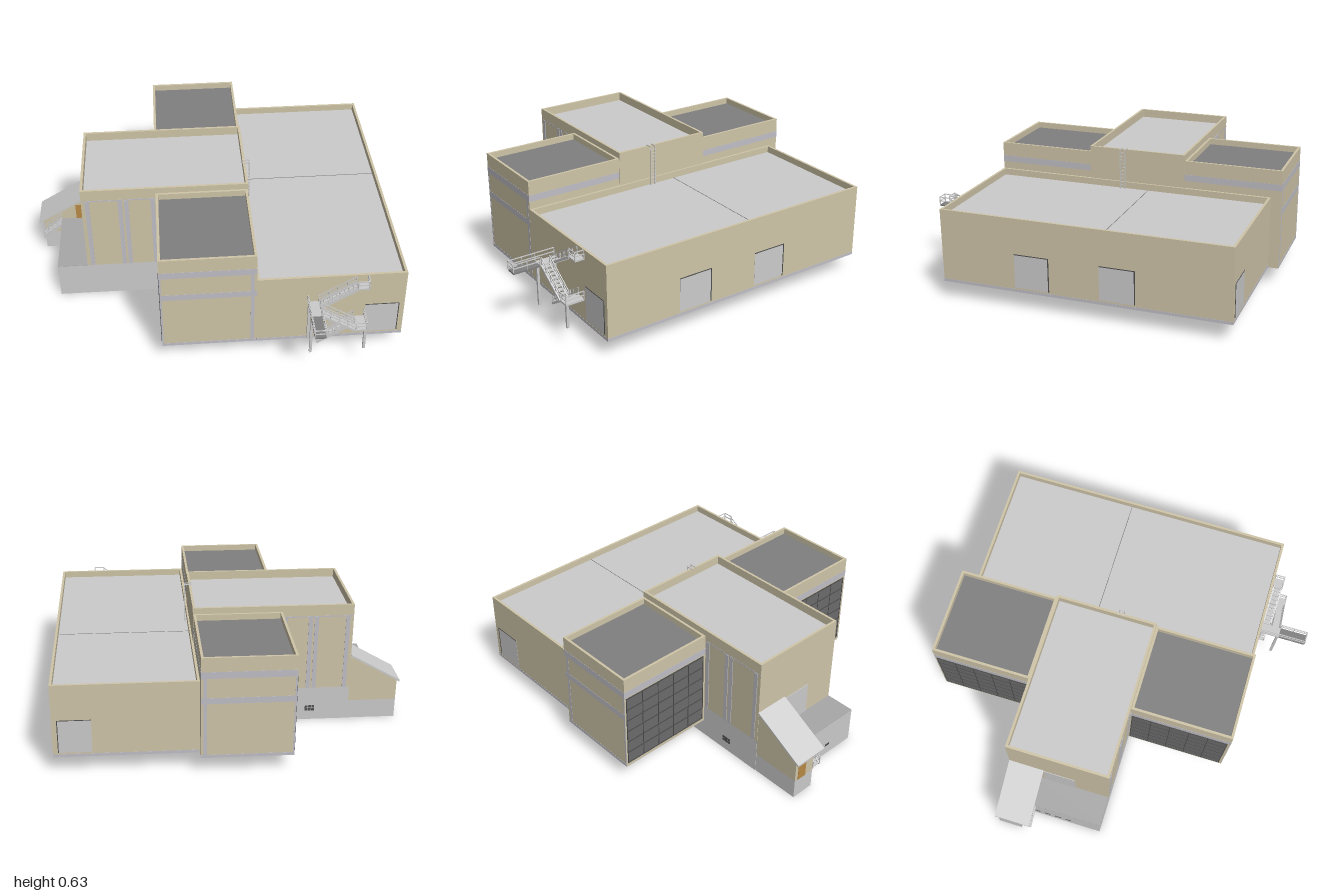
import * as THREE from 'three';

const mat = (color) => new THREE.MeshStandardMaterial({ color });
const TAN = mat(0xcfc5a8), GREY = mat(0xcccccc), TRIM = mat(0xbfbfc6), DARK = mat(0x808080);
const FLOOR = mat(0xa8a8a8), GLASS = mat(0x6c6c6c), FRAME = mat(0x505050), STEEL = mat(0xc0c0c0), ORANGE = mat(0xb88a45);

// Box given by its ranges along each axis
function box(parent, name, m, x0, x1, y0, y1, z0, z1) {
  const g = new THREE.BoxGeometry(x1 - x0, y1 - y0, z1 - z0);
  const mesh = new THREE.Mesh(g, m);
  mesh.position.set((x0 + x1) / 2, (y0 + y1) / 2, (z0 + z1) / 2);
  mesh.name = name;
  parent.add(mesh);
}

// Thin square bar between two points
function bar(parent, name, m, a, b, t = 0.005) {
  const p = new THREE.Vector3(...a), q = new THREE.Vector3(...b);
  const mesh = new THREE.Mesh(new THREE.BoxGeometry(t, t, p.distanceTo(q)), m);
  mesh.position.copy(p).add(q).multiplyScalar(0.5);
  mesh.lookAt(q);
  mesh.name = name;
  parent.add(mesh);
}

// Walls with a flat roof sunk behind a parapet, and a grey underside
function block(parent, name, roofMat, x0, x1, y0, roofY, topY, z0, z1, t = 0.012) {
  const g = new THREE.Group();
  g.name = name;
  box(g, 'walls', TAN, x0, x1, y0, roofY, z0, z1);
  box(g, 'underside', GREY, x0, x1, y0 - 0.001, y0, z0, z1);
  box(g, 'roof', roofMat, x0 + t, x1 - t, roofY - 0.005, roofY + 0.002, z0 + t, z1 - t);
  box(g, 'parapet', TAN, x0, x0 + t, roofY, topY, z0, z1);
  box(g, 'parapet', TAN, x1 - t, x1, roofY, topY, z0, z1);
  box(g, 'parapet', TAN, x0 + t, x1 - t, roofY, topY, z0, z0 + t);
  box(g, 'parapet', TAN, x0 + t, x1 - t, roofY, topY, z1 - t, z1);
  parent.add(g);
  return g;
}

// Straight flight along x with treads, stringers and handrails
function flight(parent, name, xa, ya, xb, yb, z0, z1, n = 9) {
  const g = new THREE.Group();
  g.name = name;
  const d = Math.abs(xb - xa) / n;
  for (let i = 0; i < n; i++) {
    const f = (i + 0.5) / n, x = xa + (xb - xa) * f, y = ya + (yb - ya) * f;
    box(g, 'tread', STEEL, x - d / 2, x + d / 2, y - 0.003, y + 0.003, z0, z1);
  }
  for (const z of [z0, z1]) {
    bar(g, 'stringer', STEEL, [xa, ya, z], [xb, yb, z], 0.011);
    for (const h of [0.02, 0.04]) bar(g, 'handrail', STEEL, [xa, ya + h, z], [xb, yb + h, z], 0.004);
    for (let i = 0; i <= 4; i++) {
      const x = xa + (xb - xa) * i / 4, y = ya + (yb - ya) * i / 4;
      bar(g, 'baluster', STEEL, [x, y, z], [x, y + 0.04, z], 0.004);
    }
  }
  parent.add(g);
}

// Railing along a list of floor points
function railing(parent, pts) {
  pts.forEach((p, i) => {
    bar(parent, 'railPost', STEEL, p, [p[0], p[1] + 0.04, p[2]], 0.004);
    if (!i) return;
    const q = pts[i - 1];
    for (const h of [0.02, 0.04])
      bar(parent, 'rail', STEEL, [q[0], q[1] + h, q[2]], [p[0], p[1] + h, p[2]], 0.004);
  });
}

// Side tower between an inner wall and an outer wall along z
function tower(parent, name, zIn, zOut) {
  const z0 = Math.min(zIn, zOut), z1 = Math.max(zIn, zOut), x0 = -0.424, x1 = 0.012, e = 0.001;
  const g = block(parent, name, DARK, x0, x1, 0.09, 0.568, 0.6, z0, z1);
  box(g, 'upperBand', TRIM, x0 - e, x1 + e, 0.497, 0.53, z0 - e, z1 + e);
  const out = (n, xa, xb, ya, yb) => box(g, n, TRIM, xa, xb, ya, yb, zOut - e, zOut + e);
  out('lowerBand', x0, x1, 0.37, 0.4);
  out('footBand', x0, x1, 0.09, 0.105);
  out('verticalBand', -0.016, 0, 0.105, 0.497);
  out('verticalBand', x0, x0 + 0.008, 0.105, 0.497);
  // Gridded window wall on the -x face
  const za = z0 + 0.01, zb = z1 - 0.015;
  box(g, 'windowWall', GLASS, x0 - 0.001, x0, 0.11, 0.49, za, zb);
  for (let i = 0; i <= 6; i++) {
    const y = 0.112 + i * 0.0627;
    box(g, 'transom', FRAME, x0 - 0.003, x0, y - 0.003, y + 0.003, za, zb);
  }
  for (let i = 0; i <= 5; i++) {
    const z = za + i * (zb - za) / 5;
    box(g, 'mullion', FRAME, x0 - 0.003, x0, 0.11, 0.49, z - 0.002, z + 0.002);
  }
}

export function createModel() {
  const model = new THREE.Group();
  model.name = 'industrialBuilding';
  const b = new THREE.Group();
  b.name = 'building';
  b.rotation.y = Math.PI / 6;
  model.add(b);

  // Warehouse with foundation strip and loading doors
  const R = 0.692;
  const hall = block(b, 'warehouse', GREY, 0.012, R, 0.09, 0.425, 0.46, -0.647, 0.797);
  box(hall, 'foundation', TRIM, 0.013, R + 0.001, 0.0895, 0.104, -0.648, 0.798);
  box(hall, 'roofSeam', DARK, 0.024, R - 0.012, 0.425, 0.428, -0.017, -0.014);
  for (const [za, zb] of [[0.244, 0.417], [-0.183, -0.01]]) {
    box(hall, 'loadingDoor', GREY, R - 0.01, R + 0.001, 0.112, 0.28, za, zb);
    box(hall, 'doorHead', FRAME, R - 0.01, R + 0.002, 0.278, 0.282, za, zb);
    box(hall, 'doorJamb', FRAME, R - 0.01, R + 0.002, 0.112, 0.282, za - 0.003, za + 0.002);
  }
  for (const z of [-0.647, 0.797]) {
    box(hall, 'endDoor', GREY, 0.51, 0.666, 0.112, 0.28, z - 0.001, z + 0.001);
    box(hall, 'doorHead', FRAME, 0.51, 0.666, 0.278, 0.281, z - 0.002, z + 0.002);
    box(hall, 'doorJamb', FRAME, 0.664, 0.668, 0.112, 0.281, z - 0.002, z + 0.002);
  }

  // Towers either side of the central block
  tower(b, 'frontTower', 0.3, 0.797);
  tower(b, 'backTower', -0.206, -0.7);

  // Central block on its grey base
  box(b, 'base', GREY, -0.778, 0.015, 0, 0.18, -0.205, 0.3);
  const mid = block(b, 'centralBlock', GREY, -0.778, 0.015, 0.18, 0.585, 0.63, -0.205, 0.3);
  for (const z of [-0.205, 0.3]) {
    for (const x of [-0.75, -0.595, -0.565, -0.44])
      box(mid, 'pilaster', TRIM, x - 0.01, x + 0.01, 0.18, 0.57, z - 0.003, z + 0.003);
    box(mid, 'capBand', TRIM, -0.778, -0.424, 0.567, 0.573, z - 0.001, z + 0.001);
  }
  box(mid, 'terraceDoor', GREY, -0.781, -0.777, 0.18, 0.345, -0.03, 0.13);
  for (let i = 0; i < 3; i++) for (let j = 0; j < 2; j++)
    box(b, 'baseVent', FRAME, -0.605 + i * 0.017, -0.591 + i * 0.017, 0.05 + j * 0.016, 0.063 + j * 0.016, -0.207, -0.2);

  // Terrace with a darker floor and small vents
  box(b, 'terrace', GREY, -0.925, -0.778, 0, 0.179, -0.09, 0.3);
  box(b, 'terraceFloor', FLOOR, -0.925, -0.778, 0.179, 0.181, -0.09, 0.3);
  for (let i = 0; i < 4; i++)
    box(b, 'terraceVent', FRAME, -0.926, -0.92, 0.05, 0.062, -0.045 + i * 0.055, -0.015 + i * 0.055);

  // Porch with a sloping roof
  const porch = new THREE.Group();
  porch.name = 'porch';
  b.add(porch);
  box(porch, 'porchBase', GREY, -1.021, -0.778, 0, 0.1, -0.203, -0.085);
  const prism = (name, m, pts, z0, z1) => {
    const s = new THREE.Shape(pts.map((p) => new THREE.Vector2(...p)));
    const mesh = new THREE.Mesh(new THREE.ExtrudeGeometry(s, { depth: z1 - z0, bevelEnabled: false }), m);
    mesh.position.z = z0;
    mesh.name = name;
    porch.add(mesh);
  };
  prism('porchWalls', TAN, [[-1.021, 0.1], [-0.778, 0.1], [-0.778, 0.345], [-1.021, 0.206]], -0.203, -0.085);
  prism('porchRoof', GREY, [[-1.036, 0.198], [-0.778, 0.347], [-0.778, 0.357], [-1.036, 0.208]], -0.206, -0.03);
  box(porch, 'lowerDoor', ORANGE, -1.023, -1.015, 0.1, 0.18, -0.185, -0.135);
  box(porch, 'upperDoor', ORANGE, -0.85, -0.81, 0.18, 0.265, -0.088, -0.083);
  flight(porch, 'porchStair', -1.02, 0.105, -0.925, 0.18, -0.08, -0.035, 7);

  // Roof ladder
  const ladder = new THREE.Group();
  ladder.name = 'roofLadder';
  b.add(ladder);
  for (const z of [0.105, 0.13]) {
    bar(ladder, 'ladderRail', STEEL, [0.035, 0.425, z], [0.035, 0.632, z], 0.004);
    bar(ladder, 'ladderHook', STEEL, [0.035, 0.632, z], [0, 0.632, z], 0.004);
  }
  for (let i = 0; i < 10; i++) {
    const y = 0.445 + i * 0.019;
    bar(ladder, 'rung', STEEL, [0.035, y, 0.105], [0.035, y, 0.13], 0.003);
  }

  // Fire escape on the warehouse end wall
  const esc = new THREE.Group();
  esc.name = 'fireEscape';
  b.add(esc);
  box(esc, 'topLanding', STEEL, 0.46, 0.512, 0.412, 0.42, 0.797, 0.845);
  box(esc, 'middleLanding', STEEL, 0.243, 0.294, 0.312, 0.32, 0.8, 0.9);
  box(esc, 'balcony', DARK, 0.243, 0.294, 0.312, 0.32, 0.9, 1.033);
  box(esc, 'lowLanding', STEEL, 0.455, 0.505, 0.207, 0.215, 0.8, 0.893);
  flight(esc, 'upperFlight', 0.294, 0.316, 0.46, 0.416, 0.803, 0.842);
  flight(esc, 'middleFlight', 0.294, 0.316, 0.455, 0.211, 0.852, 0.893);
  flight(esc, 'lowerFlight', 0.455, 0.211, 0.285, 0.104, 0.803, 0.842);
  railing(esc, [[0.46, 0.42, 0.845], [0.512, 0.42, 0.845], [0.512, 0.42, 0.8]]);
  railing(esc, [[0.243, 0.32, 0.803], [0.243, 0.32, 0.9], [0.243, 0.32, 0.966], [0.243, 0.32, 1.033],
    [0.294, 0.32, 1.033], [0.294, 0.32, 0.966], [0.294, 0.32, 0.9]]);
  railing(esc, [[0.455, 0.215, 0.893], [0.505, 0.215, 0.893], [0.505, 0.215, 0.803]]);
  for (const [x, y, z] of [[0.25, 0.312, 0.893], [0.25, 0.312, 0.806], [0.498, 0.207, 0.886]])
    bar(esc, 'post', STEEL, [x, 0.096, z], [x, y, z], 0.012);

  return model;
}
